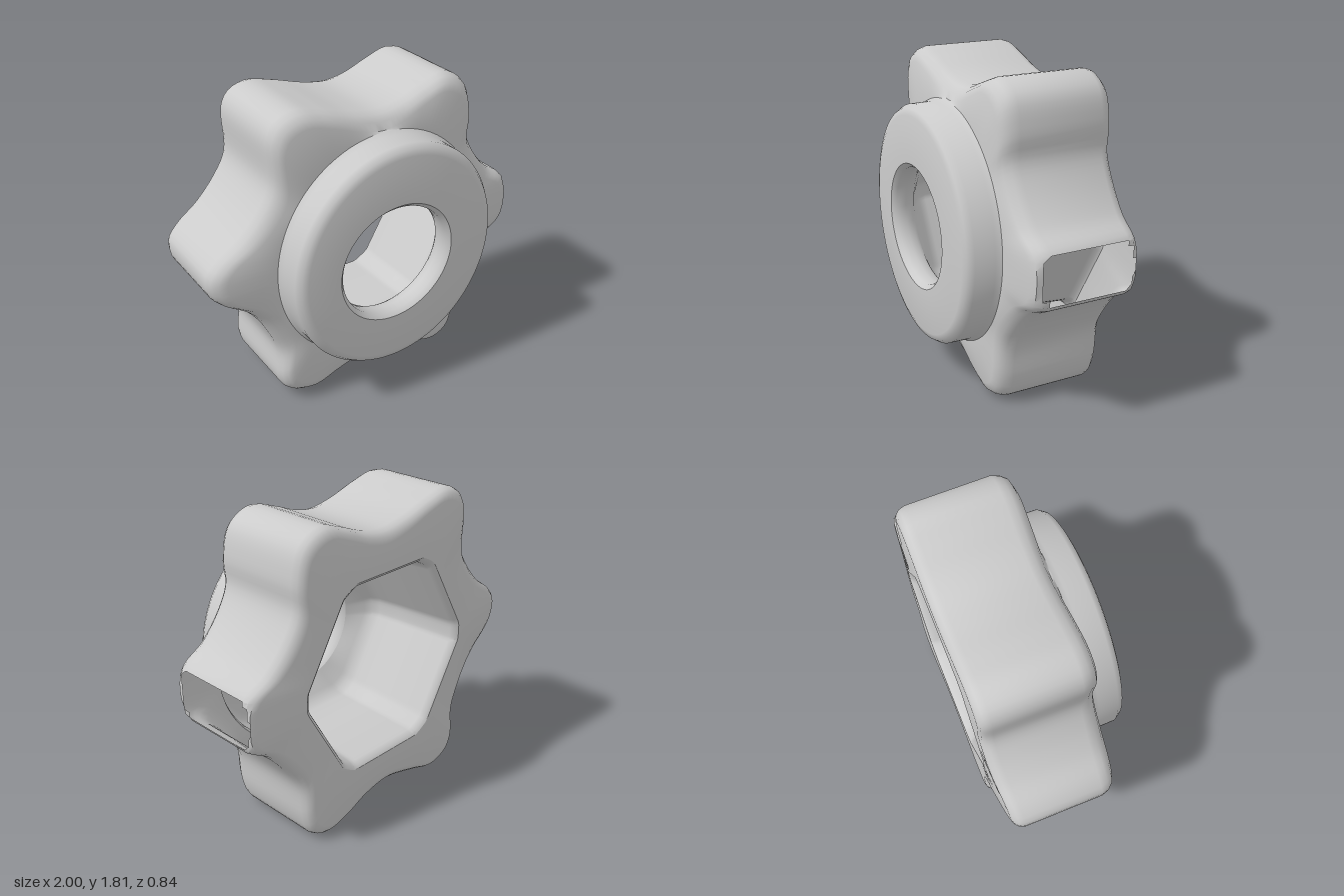
import * as THREE from 'three';
import { mergeVertices, toCreasedNormals } from 'three/addons/utils/BufferGeometryUtils.js';

const CX = 0.03, CY = 0.905, STEPS = 180;

// Six-lobed outline, counter-clockwise from the +x lobe
const OUTLINE = [
  [1.04, 0.9], [1.01, 1.03], [0.87, 1.13], [0.74, 1.29], [0.68, 1.42], [0.685, 1.56], [0.635, 1.74], [0.5, 1.81],
  [0.35, 1.77], [0.2, 1.715], [0.06, 1.695], [-0.1, 1.72], [-0.3, 1.78], [-0.45, 1.81], [-0.56, 1.77],
  [-0.605, 1.69], [-0.61, 1.43], [-0.68, 1.3], [-0.8, 1.17], [-0.94, 1.07], [-1.0, 0.99], [-0.99, 0.89],
  [-0.94, 0.82], [-0.8, 0.72], [-0.72, 0.63], [-0.65, 0.5], [-0.6, 0.36], [-0.605, 0.16], [-0.56, 0.07],
  [-0.42, 0.02], [-0.25, 0.065], [0, 0.12], [0.2, 0.09], [0.35, 0.03], [0.5, 0], [0.6, 0.05],
  [0.64, 0.15], [0.67, 0.38], [0.75, 0.52], [0.88, 0.67], [1.01, 0.76],
];

const curve = new THREE.CatmullRomCurve3(OUTLINE.map(([x, y]) => new THREE.Vector3(x, y, 0)), true, 'centripetal');
const rays = curve.getSpacedPoints(STEPS).slice(0, STEPS).map((p) => ({
  angle: Math.atan2(p.y - CY, p.x - CX),
  reach: Math.hypot(p.x - CX, p.y - CY),
}));

// Ring shapes: radius along a ray
const collar = (r, z) => ({
  z, radius: ({ angle }) => r - 0.013 * Math.cos(2 * angle) + 0.01 * Math.cos(angle),
});
const bore = (r, z) => ({
  z, radius: ({ angle }) => r + 0.007 * Math.cos(2 * angle) - 0.012 * (Math.cos(angle) + Math.sin(angle)),
});
const star = (inset, z) => ({ z, radius: (ray) => ray.reach - inset });
const hex = (r, z) => ({
  z,
  radius: ({ angle }) => {
    const sector = Math.PI / 3;
    const a = ((angle % sector) + sector) % sector - sector / 2;
    // flat sides with softened corners
    return Math.min((r * Math.cos(sector / 2)) / Math.cos(a), r * 0.955);
  },
});

// Skin a series of rings; the +x lobe is cut off and left open at x = 1
function loft(name, rings, crease) {
  const positions = [], index = [];
  for (const ring of rings) {
    for (const ray of rays) {
      const r = ring.radius(ray);
      const x = THREE.MathUtils.clamp(CX + r * Math.cos(ray.angle), -1, 1);
      // the side lobes are slightly thinner than the rest
      const thin = 1 - 0.06 * THREE.MathUtils.smoothstep(Math.abs(x), 0.65, 1);
      positions.push(x, Math.max(0, CY + r * Math.sin(ray.angle)), ring.z * thin);
    }
  }
  const addTriangle = (...corners) => {
    if (corners.some((k) => positions[k * 3] < 1)) index.push(...corners);
  };
  for (let j = 0; j < rings.length - 1; j++) {
    for (let i = 0; i < STEPS; i++) {
      const n = (i + 1) % STEPS;
      const a = j * STEPS + i, b = a + STEPS, c = (j + 1) * STEPS + n, d = j * STEPS + n;
      addTriangle(a, b, c);
      addTriangle(a, c, d);
    }
  }
  const geometry = new THREE.BufferGeometry();
  geometry.setAttribute('position', new THREE.Float32BufferAttribute(positions, 3));
  geometry.setIndex(index);
  const mesh = new THREE.Mesh(
    toCreasedNormals(mergeVertices(geometry), crease),
    new THREE.MeshStandardMaterial({ color: 0xcccccc, side: THREE.DoubleSide }),
  );
  mesh.name = name;
  return mesh;
}

export function createModel() {
  const group = new THREE.Group();
  group.name = 'starKnob';

  // Raised round collar with the central bore
  group.add(loft('collar', [
    bore(0.36, 0.28), bore(0.345, 0.3), bore(0.338, 0.34), bore(0.34, 0.395), bore(0.365, 0.422),
    collar(0.61, 0.422), collar(0.645, 0.41), collar(0.668, 0.375), collar(0.67, 0.26), collar(0.685, 0.228),
  ], 0.8));

  // Six-lobed grip with rounded rims
  group.add(loft('starGrip', [
    collar(0.685, 0.228), star(0.09, 0.217), star(0.045, 0.2), star(0.015, 0.165), star(0, 0.12),
    star(0, -0.355), star(0.012, -0.39), star(0.035, -0.412), star(0.07, -0.422), hex(0.65, -0.422),
  ], 0.8));

  // Hexagonal pocket open at the back, with a floor dished towards the bore
  group.add(loft('hexPocket', [
    hex(0.65, -0.422), hex(0.63, -0.41), hex(0.615, -0.38), hex(0.585, 0), hex(0.57, 0.14),
    hex(0.55, 0.19), hex(0.51, 0.22), bore(0.36, 0.28),
  ], 0.6));

  return group;
}
